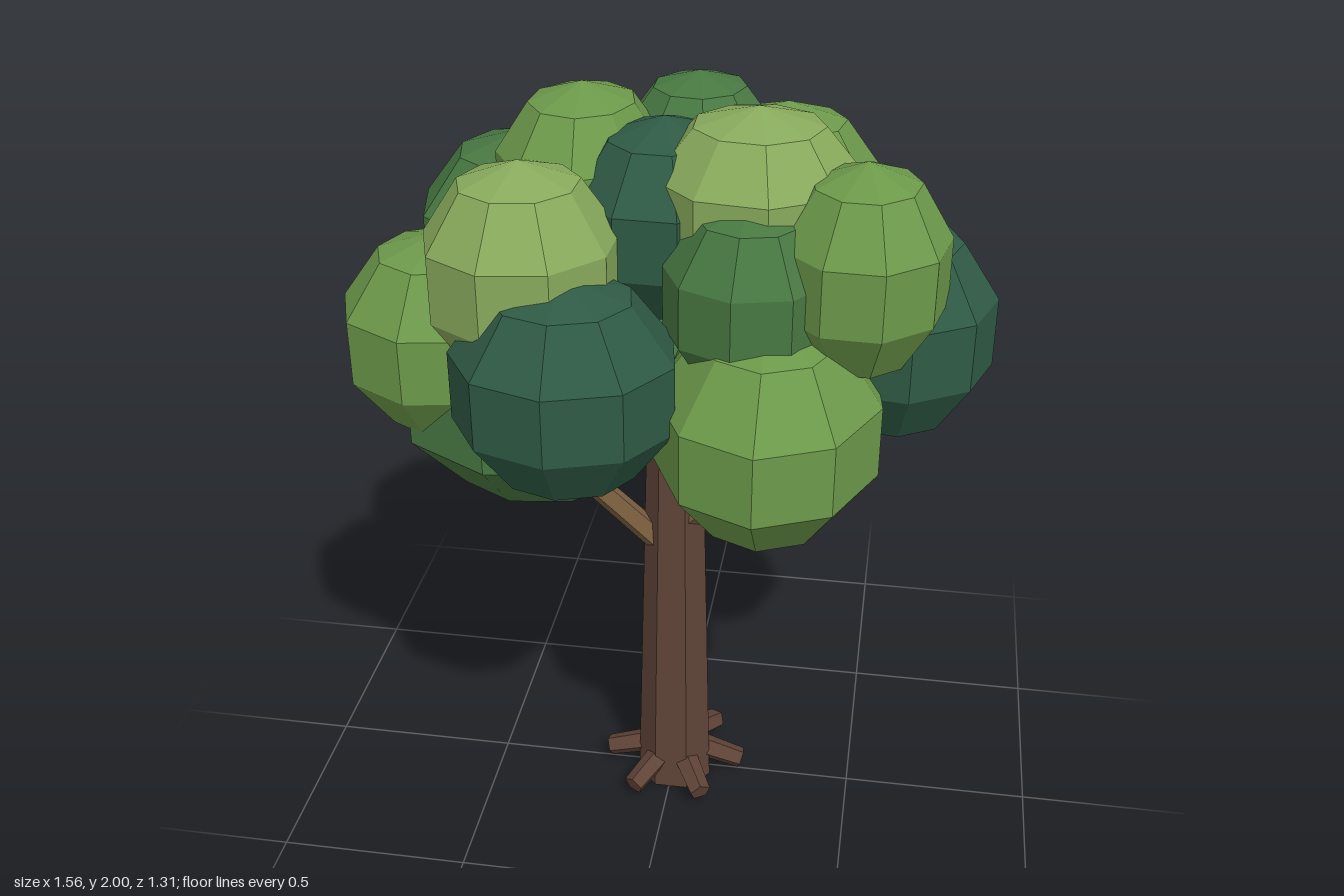
import * as THREE from 'three';

const material = (color) => new THREE.MeshStandardMaterial({ color, flatShading: true });

export function createModel() {
  const tree = new THREE.Group();
  tree.name = 'tree';
  const bark = material(0x5f4337);
  const branchWood = material(0x7d6040);
  const leaves = {
    teal: material(0x2f5a45),
    green: material(0x487842),
    light: material(0x6c994a),
    lime: material(0x88aa5c),
  };

  const add = (name, geometry, mat, parent = tree) => {
    const mesh = new THREE.Mesh(geometry, mat);
    mesh.name = name;
    parent.add(mesh);
    return mesh;
  };

  // Tapered limb between two points
  const limb = (name, from, to, r0, r1, sides, mat) => {
    const a = new THREE.Vector3(...from);
    const b = new THREE.Vector3(...to);
    const dir = b.clone().sub(a);
    const mesh = add(name, new THREE.CylinderGeometry(r1, r0, dir.length(), sides), mat);
    mesh.position.copy(a).add(b).multiplyScalar(0.5);
    mesh.quaternion.setFromUnitVectors(new THREE.Vector3(0, 1, 0), dir.normalize());
    return mesh;
  };

  // Seven-sided trunk with a corner at the back
  const trunk = add('trunk', new THREE.CylinderGeometry(0.07, 0.105, 1.3, 7), bark);
  trunk.position.set(0.005, 0.65, 0.015);
  trunk.rotation.y = Math.PI;

  // Six stubby roots sloping down and outward
  for (let i = 0; i < 6; i++) {
    const angle = Math.PI / 6 + (i * Math.PI) / 3;
    const x = Math.sin(angle);
    const z = Math.cos(angle);
    limb('root', [0.005 + x * 0.05, 0.09, 0.012 + z * 0.05],
      [0.005 + x * 0.19, 0.048, 0.012 + z * 0.19], 0.036, 0.03, 5, bark);
  }

  // Branches reaching into the crown
  const branches = [
    [[-0.03, 0.78, 0.03], [-0.36, 1.2, 0.18]],
    [[0.02, 0.85, 0.03], [0.32, 1.18, 0.17]],
    [[0.0, 0.82, -0.01], [-0.06, 1.18, -0.34]],
    [[0.02, 0.9, 0], [0.28, 1.3, -0.18]],
  ];
  for (const [from, to] of branches) limb('branch', from, to, 0.036, 0.028, 5, branchWood);

  // Leaf clumps: shade, centre, half-extents, turn
  const clumps = [
    ['teal', [-0.19, 1.43, 0.405], [0.265, 0.27, 0.245], 0],
    ['teal', [0.54, 1.46, 0.04], [0.24, 0.275, 0.24], 0.2],
    ['teal', [-0.1, 1.3, -0.3], [0.35, 0.275, 0.355], Math.PI],
    ['teal', [-0.02, 1.7, 0.03], [0.22, 0.25, 0.24], 0.3],
    ['green', [-0.32, 1.28, 0.1], [0.36, 0.295, 0.34], 0.5],
    ['green', [0.33, 1.39, -0.27], [0.29, 0.285, 0.285], 0.1],
    ['green', [-0.4, 1.57, -0.15], [0.27, 0.27, 0.28], 0.4],
    ['green', [0.02, 1.78, -0.27], [0.19, 0.19, 0.2], 0.2],
    ['green', [0.21, 1.6, 0.24], [0.2, 0.24, 0.2], 0.6],
    ['light', [0.265, 1.3, 0.27], [0.27, 0.285, 0.34], 0],
    ['light', [-0.535, 1.43, 0.17], [0.25, 0.26, 0.25], -Math.PI / 2],
    ['light', [0.24, 1.65, -0.28], [0.24, 0.25, 0.23], Math.PI],
    ['light', [-0.235, 1.755, -0.075], [0.21, 0.235, 0.245], 0.1],
    ['light', [0.46, 1.67, 0.2], [0.2, 0.255, 0.225], 0.3],
    ['lime', [0.205, 1.775, 0.08], [0.25, 0.225, 0.24], 0.2],
    ['lime', [-0.31, 1.65, 0.28], [0.23, 0.265, 0.235], 0.5],
  ];
  const crown = new THREE.Group();
  crown.name = 'crown';
  tree.add(crown);
  const widest = Math.sin(0.4 * Math.PI);
  for (const [shade, centre, [rx, ry, rz], turn] of clumps) {
    // A corner faces the front before turning
    const geometry = new THREE.SphereGeometry(1, 9, 5)
      .rotateY(Math.PI / 2 + turn)
      .scale(rx / widest, ry, rz / widest);
    add('leafClump', geometry, leaves[shade], crown).position.set(...centre);
  }

  return tree;
}
